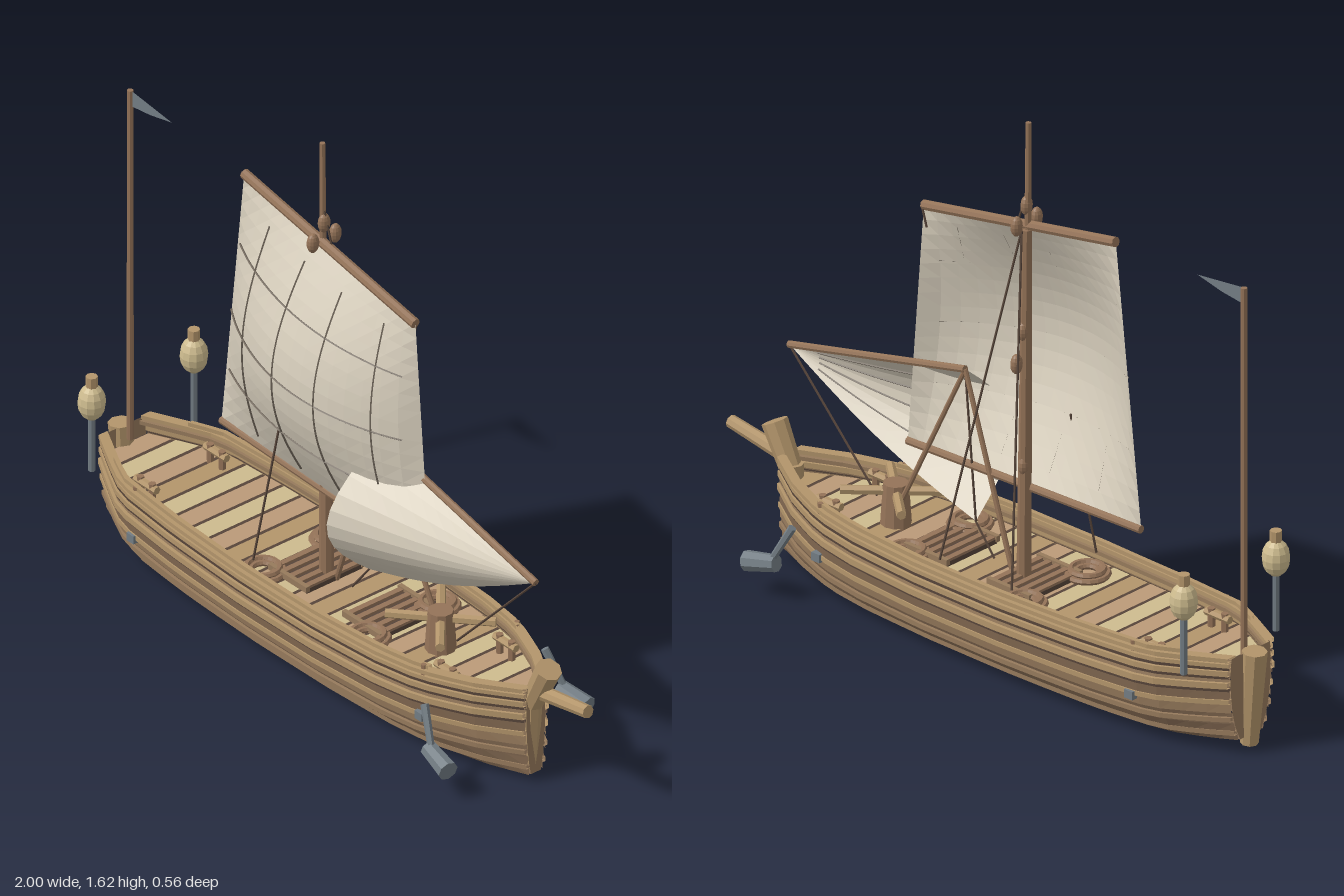
import * as THREE from 'three';

const mat = (name, color) => {
  const m = new THREE.MeshStandardMaterial({ color, flatShading: true, side: THREE.DoubleSide });
  m.name = name;
  return m;
};
const V = (x, y, z) => new THREE.Vector3(x, y, z);

// Hull lines: half width along the ship, and relative width up the section
const PLAN = [[-.95, .08], [-.84, .14], [-.74, .19], [-.5, .21], [-.2, .222], [.1, .22], [.35, .203], [.5, .178], [.65, .115], [.78, .034]];
const SECTION = [[0, .52], [.1, .68], [.28, .86], [.48, .95], [.7, 1], [.85, .99], [1, .95]];
function interp(table, x) {
  for (let i = 1; i < table.length; i++) {
    const [x0, y0] = table[i - 1], [x1, y1] = table[i];
    if (x <= x1) return y0 + (y1 - y0) * Math.max(0, (x - x0) / (x1 - x0));
  }
  return table[table.length - 1][1];
}
const bottomY = x => .009 + .045 * x ** 4;
const topY = x => .284 + .02 * x * x + (x > 0 ? .02 * x ** 3 : 0);
const levelY = (x, t) => bottomY(x) + (topY(x) - bottomY(x)) * t;
const halfW = (x, t) => interp(PLAN, x) * interp(SECTION, t);
const hullX = u => -.95 + 1.73 * u;

// Surface from a rule f(u, v) -> Vector3
function grid(nu, nv, f) {
  const pos = [], idx = [];
  for (let i = 0; i <= nu; i++) for (let j = 0; j <= nv; j++) pos.push(...f(i / nu, j / nv).toArray());
  for (let i = 0; i < nu; i++) for (let j = 0; j < nv; j++) {
    const a = i * (nv + 1) + j, b = a + nv + 1;
    idx.push(a, b, a + 1, b, b + 1, a + 1);
  }
  const g = new THREE.BufferGeometry();
  g.setAttribute('position', new THREE.Float32BufferAttribute(pos, 3));
  g.setIndex(idx);
  g.computeVertexNormals();
  return g;
}

export function createModel() {
  const root = new THREE.Group();
  root.name = 'sailingBoat';
  const plank = mat('plankWood', 0x967a5c), dark = mat('darkHullWood', 0x7e654e), rail = mat('railWood', 0xb3956b);
  const pale = mat('paleWood', 0xcdbb8e), rose = mat('roseWood', 0xbb9a78), shade = mat('darkWood', 0x57453a);
  const spar = mat('sparWood', 0x947358), cloth = mat('sailCloth', 0xd8cfbd), metal = mat('metal', 0x727c83);
  const thread = mat('sailSeamThread', 0x71675b);

  const add = (name, geo, m) => {
    const mesh = new THREE.Mesh(geo, m);
    mesh.name = name;
    root.add(mesh);
    return mesh;
  };
  const rod = (name, a, b, r0, r1, m, sides = 8) => {
    const d = b.clone().sub(a);
    const mesh = add(name, new THREE.CylinderGeometry(r1, r0, d.length(), sides), m);
    mesh.position.copy(a).addScaledVector(d, .5);
    mesh.quaternion.setFromUnitVectors(V(0, 1, 0), d.normalize());
  };
  const box = (name, x, y, z, w, h, d, m) => {
    add(name, new THREE.BoxGeometry(w, h, d), m).position.set(x, y, z);
  };
  const ball = (name, x, y, z, rx, ry, rz, m) => {
    const mesh = add(name, new THREE.SphereGeometry(1, 12, 8), m);
    mesh.position.set(x, y, z);
    mesh.scale.set(rx, ry, rz);
  };

  // Overlapping hull strakes, wales and rails on both sides
  const levels = [0, .1, .22, .36, .52, .68, .84, 1];
  const strakeMats = [dark, dark, dark, plank, dark, plank, plank];
  const wales = [[.1, .012, .014, plank], [.28, .014, .014, plank], [.5, .014, .014, rail], [.7, .018, .018, rail], [.84, .015, .016, rail], [.93, .012, .012, rail]];
  for (const s of [1, -1]) {
    for (let k = 0; k < 7; k++) {
      add('hullStrake', grid(28, 1, (u, v) => {
        const x = hullX(u), t = levels[k] + (levels[k + 1] - levels[k]) * v;
        return V(x, levelY(x, t), s * (halfW(x, t) + (1 - v) * .007));
      }), strakeMats[k]);
    }
    // Square strip that follows the hull side
    const strip = (name, x0, x1, t, lift, depth, h, out, m) => add(name, grid(28, 4, (u, v) => {
      const x = x0 + (x1 - x0) * u, c = Math.round(v * 4) % 4;
      return V(x, levelY(x, t) + lift + (c === 1 || c === 2 ? h : -h) / 2, s * (halfW(x, t) + out + (c < 2 ? depth : -depth) / 2));
    }), m);
    for (const [t, d, h, m] of wales) strip('wale', -.95, .78, t, 0, d, h, .005, m);
    for (const t of [.64, .79, .89]) strip('waleShadowGap', -.95, .78, t, 0, .006, .008, .005, shade);
    strip('capRail', -.95, .78, 1, 0, .032, .012, 0, rail);
    strip('innerRail', -.95, .78, .94, 0, .014, .012, -.016, plank);
    strip('topRail', -.83, .52, 1, .011, .014, .014, -.004, rail);
  }
  add('hullBottom', grid(28, 2, (u, v) => V(hullX(u), bottomY(hullX(u)), (v * 2 - 1) * halfW(hullX(u), 0))), dark);
  for (const x of [-.95, .78])
    add('hullEnd', grid(6, 1, (u, v) => V(x, levelY(x, u), (v * 2 - 1) * halfW(x, u))), plank);
  box('keel', -.05, .009, 0, .9, .016, .03, dark);

  // Deck with cross planks
  const deckY = x => .23 + .02 * x * x;
  add('deckBase', grid(40, 1, (u, v) => V(hullX(u), deckY(hullX(u)) - .006, (v * 2 - 1) * (halfW(hullX(u), .8) - .004))), shade);
  const count = 24, step = 1.71 / count, deckMats = [rose, pale, rose, rail, pale];
  for (let i = 0; i < count; i++) {
    const x0 = -.94 + i * step;
    add('deckPlank', grid(1, 1, (u, v) => {
      const x = x0 + u * (step - .011);
      return V(x, deckY(x), (v * 2 - 1) * (halfW(x, .8) - .008));
    }), deckMats[i % 5]);
  }

  // Stem, stern post and bowsprit
  rod('sternPost', V(-.945, .02, 0), V(-.965, .305, 0), .026, .036, rail);
  rod('stemLower', V(.757, .035, 0), V(.765, .28, 0), .022, .03, rail);
  rod('stemHead', V(.768, .25, 0), V(.835, .385, 0), .032, .038, rail);
  rod('bowsprit', V(.8, .295, 0), V(1, .328, 0), .022, .019, rail);

  // Mast, pole, yards and boom
  rod('mast', V(-.105, .22, -.005), V(-.115, 1.3, -.005), .021, .014, spar);
  rod('topPole', V(-.115, 1.28, 0), V(-.117, 1.625, 0), .01, .008, spar);
  const yardA = V(-.44, 1.37, .005), yardB = V(.28, 1.235, .005), boomA = V(-.535, .525, .005), boomB = V(.34, .495, .005);
  rod('mainYard', yardA, yardB, .015, .015, spar);
  rod('mainBoom', boomA, boomB, .012, .012, spar);
  const jibPeak = V(.78, .638, 0), jibHead = V(.12, .79, 0), jibClew = V(.08, .34, 0);
  rod('jibYard', jibPeak, jibHead, .011, .011, spar);
  // Slanted poles that carry the jib yard
  rod('jibPole', V(-.07, .23, -.01), jibHead, .008, .007, spar);
  rod('jibPole', V(.38, .25, -.01), jibHead, .008, .007, spar);

  // Billowing sails
  const mainSail = (u, v) => {
    const p = yardA.clone().lerp(yardB, u).lerp(boomA.clone().lerp(boomB, u), v);
    p.z += .148 * Math.sin(Math.PI * v) * Math.sin(Math.PI * u) ** .75;
    return p;
  };
  const jibSail = (u, v) => {
    const p = jibPeak.clone().lerp(jibHead, u).lerp(jibPeak.clone().lerp(jibClew, u), v);
    p.z += .17 * Math.sin(Math.PI * v) * u ** 1.2;
    p.y -= .03 * v * Math.sin(Math.PI * u);
    return p;
  };
  add('mainSail', grid(16, 16, mainSail), cloth);
  add('jibSail', grid(12, 10, jibSail), cloth);
  const seam = (f, dz) => {
    const pts = [];
    for (let i = 0; i <= 16; i++) pts.push(f(i / 16).add(V(0, 0, dz)));
    add('sailSeam', new THREE.TubeGeometry(new THREE.CatmullRomCurve3(pts), 24, .003, 4), thread);
  };
  for (const u of [.2, .42, .63, .85]) seam(t => mainSail(u, .08 + .86 * t), .003);
  for (const v of [.24, .5, .75]) seam(t => mainSail(.05 + .9 * t, v), .003);
  for (const v of [.2, .4, .6, .8]) seam(t => jibSail(.15 + .85 * t, v), -.005);

  // Rigging
  const ropes = [
    [-.11, 1.3, -.02, -.21, .29, -.165], [-.11, 1.3, -.02, .06, .29, -.165], [-.18, .72, .1, -.22, .29, .16],
    [.12, .79, 0, .08, .34, 0], [.78, .638, 0, .45, .29, 0], [.08, .34, 0, .01, .25, 0], [.27, 1.23, -.01, .255, 1.18, -.01],
    [-.11, 1.41, 0, -.075, 1.3, 0]
  ];
  for (const r of ropes) rod('rope', V(r[0], r[1], r[2]), V(r[3], r[4], r[5]), .0035, .0035, shade, 5);
  for (const [y, z] of [[1.32, .04], [1.32, -.04], [1.37, 0], [.9, -.04], [.99, -.012], [.58, -.01]])
    ball('pulleyBlock', -.11, y, z, .016, .03, .019, spar);

  // Flag at the stern
  rod('flagPole', V(-.925, .27, 0), V(-.925, 1.4, 0), .01, .009, spar);
  const flag = new THREE.Shape([[-.92, 1.4], [-.92, 1.35], [-.84, 1.36], [-.75, 1.38]].map(p => new THREE.Vector2(...p)));
  add('flag', new THREE.ShapeGeometry(flag), metal);

  // Capstan with crossed bars
  rod('capstanDrum', V(.38, .22, 0), V(.38, .355, 0), .045, .036, spar, 10);
  for (const s of [1, -1]) rod('capstanBar', V(.265, .33, -.1 * s), V(.495, .33, .1 * s), .014, .014, rail, 6);

  // Deck hatches with gratings
  for (const x of [-.14, .17]) {
    box('hatch', x, .236, 0, .15, .016, .2, shade);
    for (let i = 0; i < 5; i++) box('hatchSlat', x - .065 + i * .0325, .246, 0, .018, .01, .2, spar);
    for (const s of [1, -1]) box('hatchFrame', x, .246, .1 * s, .16, .018, .014, plank);
  }

  for (const s of [1, -1]) {
    // Coiled ropes
    for (const x of [-.22, .22]) for (const [r, y] of [[.058, .24], [.046, .252], [.033, .244]]) {
      const coil = add('ropeCoil', new THREE.TorusGeometry(r, .009, 6, 18), spar);
      coil.rotation.x = Math.PI / 2;
      coil.position.set(x, y, s * .125);
    }
    // Mooring bitts
    for (const [x, z] of [[-.71, .125], [.53, .105]]) {
      for (const dx of [-.025, .025]) rod('bittPost', V(x + dx, .22, s * z), V(x + dx, .295, s * z), .011, .011, spar, 6);
      rod('bittBar', V(x - .045, .28, s * z), V(x + .045, .28, s * z), .012, .012, rail, 6);
    }
    for (const x of [-.685, .505]) {
      rod('railPin', V(x, .27, s * halfW(x, 1)), V(x, .31, s * halfW(x, 1)), .008, .008, spar, 6);
      box('sideFitting', x, .15, s * (halfW(x, .5) + .01), .03, .025, .02, metal);
    }
    // Stern lanterns
    rod('lanternPole', V(-.872, .27, s * .183), V(-.872, .45, s * .183), .01, .01, metal);
    ball('lantern', -.872, .492, s * .183, .04, .056, .04, pale);
    rod('lanternCap', V(-.872, .53, s * .183), V(-.872, .575, s * .183), .017, .017, rail);
    // Bow anchors
    rod('anchorShank', V(.565, .23, s * .215), V(.625, .115, s * .24), .012, .01, metal, 6);
    rod('anchorWeight', V(.605, .115, s * .235), V(.705, .095, s * .25), .025, .03, metal, 8);
  }
  return root;
}
